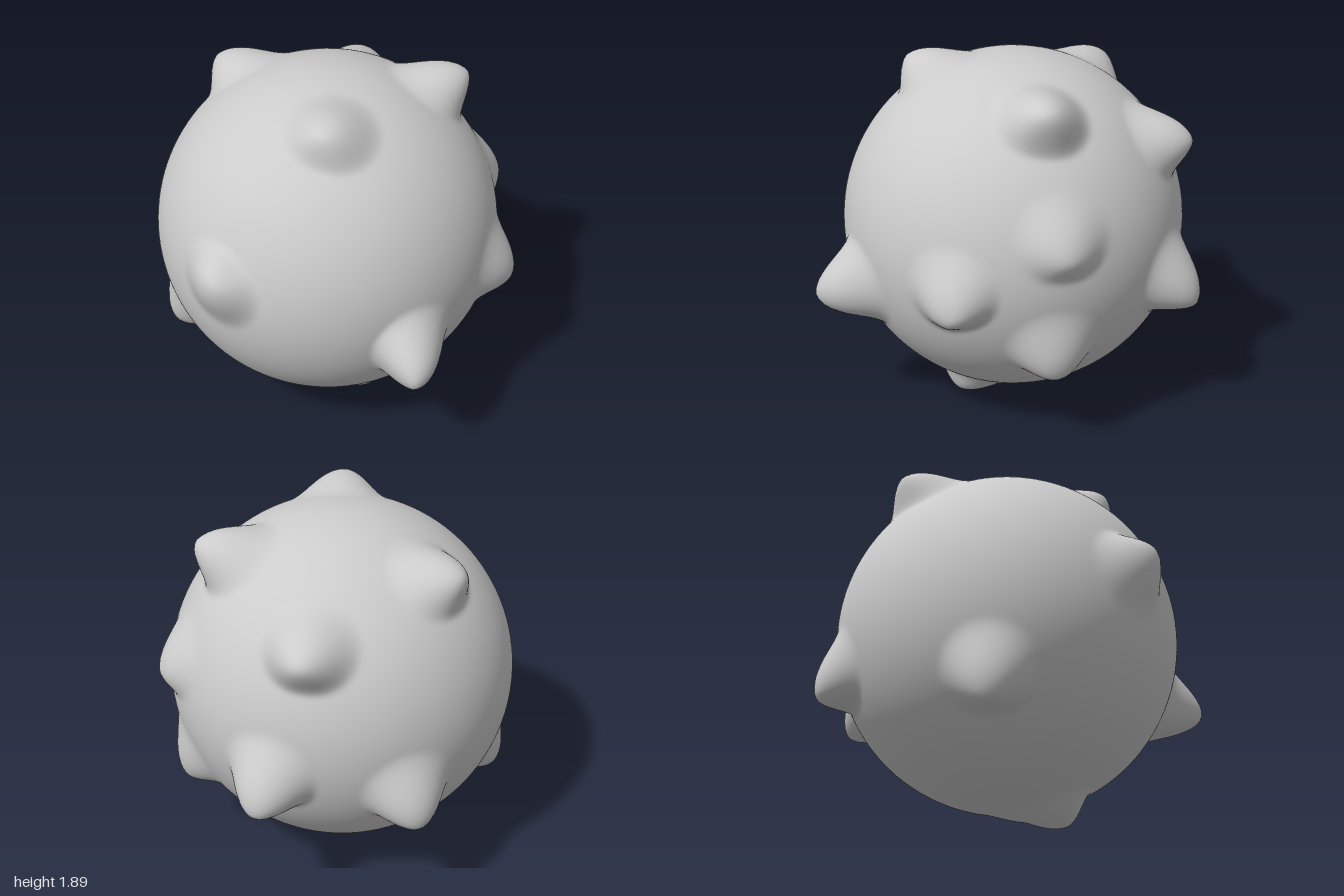
import * as THREE from 'three';
import { mergeVertices } from 'three/addons/utils/BufferGeometryUtils.js';

const CENTRE = new THREE.Vector3(-0.05, 0.96, 0);
const RADIUS = 0.915;
const SPREAD = 0.27; // mean angular half width of a bump, in radians
const LEAN = 0.42;   // how much narrower the steep side is than the gentle one

// Each bump: position of its tip, then the direction its steep side faces
const BUMPS = [
  [[0.14, 1.17, 1.0], [0.5, 0.7, 0]],
  [[0.98, 0.66, 0.41], [0, -0.3, 1]],
  [[-0.63, 0.30, 0.63], [0, -1, 0]],
  [[0.31, 0.0, 0.04], [1, 0, 0]],
  [[0.16, 0.01, 0.03], [0, 0, 1]],
  [[0.33, 1.85, 0.40], [0.5, 0, 1]],
  [[0.33, 1.77, -0.65], [0.6, -0.5, -0.6]],
  [[-0.79, 1.72, 0.08], [-0.3, -1, 0.2]],
  [[-0.43, 0.66, -1.0], [0, -1, 0]],
  [[0.84, 0.79, -0.51], [0, -1, -0.5]],
  [[-0.98, 0.56, -0.39], [0, -1, 0]],
  [[-0.56, 1.48, -0.80], [0, -1, 0]],
  [[0.40, 1.10, -0.88], [0, -1, 0]],
  [[0.37, 0.42, -0.78], [0, -1, 0]],
];

export function createModel() {
  const bumps = BUMPS.map(([tip, facing]) => {
    const dir = new THREE.Vector3(...tip).sub(CENTRE);
    const height = dir.length() - RADIUS;
    dir.normalize();
    const steep = new THREE.Vector3(...facing).projectOnPlane(dir).normalize();
    return { dir, height, steep };
  });

  // Even sphere with shared vertices, so the normals come out smooth
  let geometry = new THREE.IcosahedronGeometry(1, 50);
  geometry.deleteAttribute('uv');
  geometry.deleteAttribute('normal');
  geometry = mergeVertices(geometry, 1e-5);

  // Push each vertex outwards by the tallest leaning bell that reaches it
  const pos = geometry.attributes.position;
  const v = new THREE.Vector3();
  const side = new THREE.Vector3();
  for (let i = 0; i < pos.count; i++) {
    v.fromBufferAttribute(pos, i).normalize();
    let lift = 0;
    for (const { dir, height, steep } of bumps) {
      side.copy(v).projectOnPlane(dir).normalize();
      const width = SPREAD * (1 - LEAN * side.dot(steep));
      const t = Math.max(0, 1 - v.angleTo(dir) / width);
      lift = Math.max(lift, height * t * t * (3 - 2 * t));
    }
    v.multiplyScalar(RADIUS + lift).add(CENTRE);
    pos.setXYZ(i, v.x, v.y, v.z);
  }
  geometry.computeVertexNormals();

  const ball = new THREE.Mesh(geometry, new THREE.MeshStandardMaterial({ color: 0xcccccc }));
  ball.name = 'spikedBall';
  const group = new THREE.Group();
  group.name = 'model';
  group.add(ball);
  return group;
}
